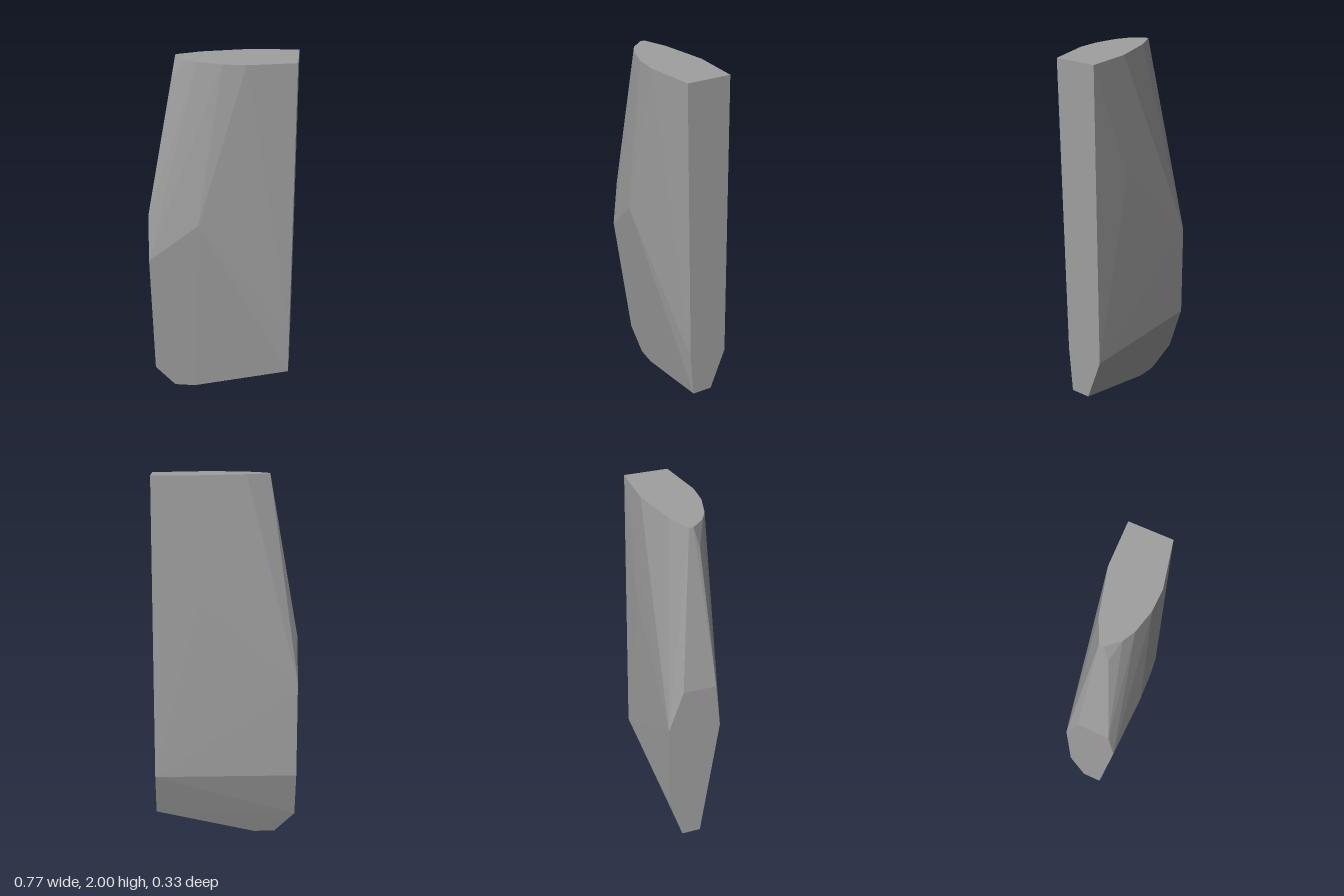
import * as THREE from 'three';
import { ConvexGeometry } from 'three/addons/geometries/ConvexGeometry.js';

export function createModel() {
  const model = new THREE.Group();
  model.name = 'stoneSlab';

  const greyStone = new THREE.MeshStandardMaterial({ color: 0xa0a0a0 });
  greyStone.name = 'greyStone';

  // Flat top outline, as x, z
  const top = [
    [-0.235, -0.002], [-0.235, 0.02], [-0.175, 0.087], [-0.11, 0.12],
    [0.015, 0.148], [0.135, 0.148], [0.385, 0.09], [0.385, -0.142],
    [0.135, -0.13], [-0.11, -0.062],
  ].map(([x, z]) => [x, 2, z]);

  // Lower corners of the broad flat side at +x, as y, z
  const leftSide = [
    [0.4, 0.052], [0.145, 0.03], [0.145, -0.08], [0.38, -0.163],
  ].map(([y, z]) => [0.385, y, z]);

  // Corners of the narrow side at -x, as y, z
  const rightSide = [
    [1.14, -0.073], [0.9, -0.152], [0.38, -0.152], [0.125, -0.075],
    [0.125, 0.03], [0.88, 0.13], [1.14, 0.103],
  ].map(([y, z]) => [-0.385, y, z]);

  // Small foot at the bottom
  const foot = [
    [-0.275, 0, 0.015], [-0.16, 0, 0.015], [-0.16, 0, -0.028], [-0.275, 0, -0.028],
  ];

  // Ridge points on the front, the back and the upper shoulder
  const ridges = [[-0.11, 1.12, 0.163], [0.14, 1.37, -0.155], [-0.25, 1.89, 0.05]];

  const corners = [...top, ...leftSide, ...rightSide, ...foot, ...ridges]
    .map((p) => new THREE.Vector3(...p));

  // Faceted solid wrapped around all the corners
  const slab = new THREE.Mesh(new ConvexGeometry(corners), greyStone);
  slab.name = 'slab';
  model.add(slab);

  return model;
}
